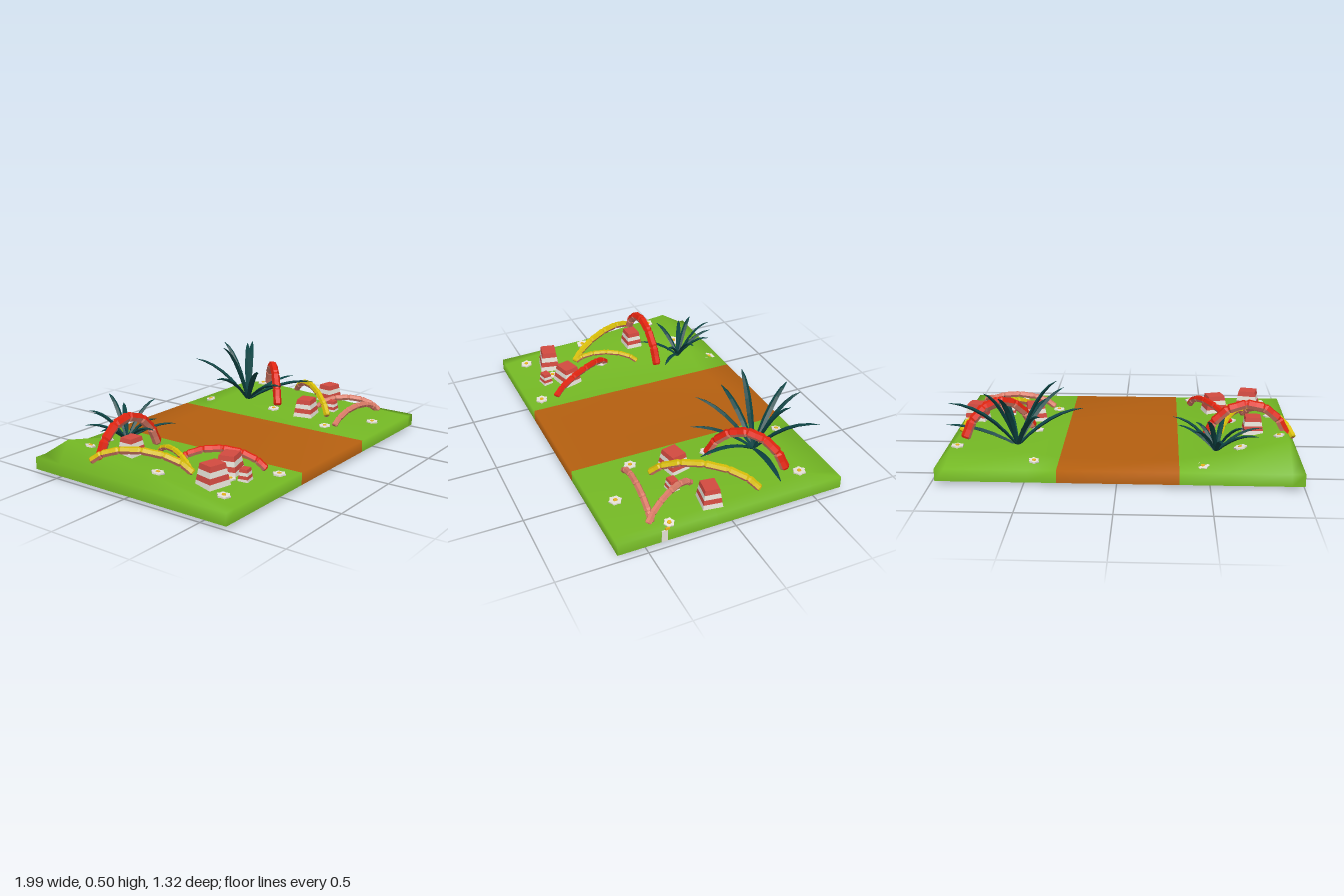
import * as THREE from 'three';

const mat = (name, color) => new THREE.MeshStandardMaterial({ name, color, side: THREE.DoubleSide });
const V = (x, y, z) => new THREE.Vector3(x, y, z);
const lerp = THREE.MathUtils.lerp;

// Piecewise linear lookup through [position, value] pairs
function ramp(pairs, v) {
  for (let i = 1; i < pairs.length; i++) {
    const [a, p] = pairs[i - 1], [b, q] = pairs[i];
    if (v <= b) return lerp(p, q, Math.max(0, (v - a) / (b - a)));
  }
  return pairs[pairs.length - 1][1];
}

// Banks rise beside the flat path and toward the back
const BANK = [[-1, 0], [-0.93, 0.12], [-0.6, 0.045], [-0.335, 0], [0.32, 0], [0.48, 0.03], [0.92, 0.05], [0.975, 0]];
const RISE = [[-0.66, 0], [-0.47, 1], [0.1, 0.5], [0.66, 0]];
const ground = (x, z) => 0.09 + ramp(BANK, x) * ramp(RISE, z);

// Skin over a list of rings; each ring is an array of points
function loft(rings, flat) {
  const w = rings[0].length, index = [];
  for (let i = 0; i < rings.length - 1; i++) {
    for (let j = 0; j < w - 1; j++) {
      const a = i * w + j, c = a + w;
      index.push(a, c, a + 1, a + 1, c, c + 1);
    }
  }
  let g = new THREE.BufferGeometry().setFromPoints(rings.flat());
  g.setIndex(index);
  if (flat) g = g.toNonIndexed();
  g.computeVertexNormals();
  return g;
}

export function createModel() {
  const root = new THREE.Group();
  root.name = 'gardenPath';
  const M = {
    grass: mat('grass green', 0x74b824), soil: mat('path brown', 0xb45f10),
    leaf: mat('leaf teal', 0x0d4444), red: mat('stalk red', 0xe0240f),
    pink: mat('salmon', 0xdb7c68), yellow: mat('stalk yellow', 0xd8be08),
    white: mat('petal white', 0xe6e2d8), gold: mat('flower gold', 0xe8b41c),
    band: mat('pot red', 0xd24a40),
  };
  const add = (parent, name, geo, material) => {
    const m = new THREE.Mesh(geo, material);
    m.name = name;
    parent.add(m);
    return m;
  };

  // Ground: top grid with skirt walls as its outermost rows and columns, open below
  const xs = BANK.map(p => p[0]), zs = RISE.map(p => p[0]);
  const cols = [xs[0], ...xs, xs[xs.length - 1]], rows = [zs[0], ...zs, zs[zs.length - 1]];
  const rim = (i, n) => i === 0 || i === n - 1;
  const soil = loft(rows.map((z, i) => cols.map((x, j) =>
    V(x, rim(i, rows.length) || rim(j, cols.length) ? 0.02 : ground(x, z), z))));
  for (let k = 0; k < soil.index.count / 6; k++) {
    soil.addGroup(k * 6, 6, k % (cols.length - 1) === 4 ? 1 : 0);
  }
  add(root, 'ground', soil, [M.grass, M.soil]);

  // Arched stalks: pinched six-sided segments, coloured outside, salmon inside
  function stalk(name, a, b, peak, r, outer, bow = 0) {
    const g = new THREE.Group();
    g.name = name;
    root.add(g);
    const A = V(...a), B = V(...b), n = 6;
    const along = V(B.x - A.x, 0, B.z - A.z).normalize();
    const side = V(-along.z, 0, along.x);
    const point = i => {
      const t = i / n, s = (1 - Math.cos(Math.PI * t)) / 2, u = lerp(t, s, 0.6);
      const p = A.clone().lerp(B, u).addScaledVector(side, bow * Math.sin(Math.PI * u));
      p.y += (peak - (a[1] + b[1]) / 2) * Math.sin(Math.PI * t);
      return p;
    };
    [[0, outer, 'outerHalf'], [Math.PI, M.pink, 'innerHalf']].forEach(([start, material, part]) => {
      const rings = [];
      for (let i = 0; i < n; i++) {
        const p = point(i), q = point(i + 1);
        const up = side.clone().cross(q.clone().sub(p).normalize());
        if (up.y < 0) up.negate();
        for (const [t, k] of [[0, 0.75], [0.1, 1.02], [0.5, 0.95], [0.9, 1.02], [1, 0.75]]) {
          const c = p.clone().lerp(q, t);
          rings.push([0, 1, 2, 3].map(j => {
            const f = start + j * Math.PI / 3;
            return c.clone().addScaledVector(side, Math.cos(f) * r * k).addScaledVector(up, Math.sin(f) * r * k);
          }));
        }
      }
      // Close both ends
      const tip = pt => [0, 1, 2, 3].map(() => pt.clone());
      rings.unshift(tip(A));
      rings.push(tip(B));
      add(g, part, loft(rings, true), material);
    });
  }
  stalk('leftTallArch', [-0.95, 0.15, -0.22], [-0.48, 0.12, -0.22], 0.335, 0.027, M.red);
  stalk('rightTallArch', [0.52, 0.13, -0.07], [0.86, 0.16, -0.37], 0.335, 0.027, M.red);
  stalk('leftYellowArch', [-0.98, 0.15, -0.25], [-0.74, 0.12, 0.25], 0.225, 0.021, M.yellow);
  stalk('leftSmallArch', [-0.74, 0.12, 0.24], [-0.58, 0.12, -0.12], 0.185, 0.016, M.yellow);
  stalk('leftRedArch', [-0.65, 0.12, 0.07], [-0.42, 0.1, 0.49], 0.195, 0.021, M.red, -0.03);
  stalk('rightYellowArch', [0.54, 0.12, 0.29], [0.92, 0.13, -0.18], 0.235, 0.021, M.yellow);
  stalk('rightPinkArch', [0.7, 0.11, 0.12], [0.9, 0.1, 0.46], 0.18, 0.019, M.pink);
  stalk('frontPinkArch', [0.44, 0.1, 0.4], [0.9, 0.1, 0.44], 0.175, 0.019, M.pink);

  // Root tip poking out under the ground
  const rootTip = add(root, 'rootTip', new THREE.ConeGeometry(0.025, 0.1, 6), M.pink);
  rootTip.rotation.x = Math.PI;
  rootTip.position.set(-0.71, 0.05, 0.29);

  // Striped four-sided pots: x, z, width, height, turn
  [[-0.76, -0.16, 0.12, 0.1, 0], [-0.78, 0.41, 0.14, 0.12, -0.22], [-0.57, 0.36, 0.14, 0.11, 0.27],
    [-0.61, 0.49, 0.07, 0.07, 0.2], [0.53, 0.14, 0.14, 0.11, 0.2], [0.88, 0.1, 0.13, 0.11, -0.15],
    [0.7, 0.23, 0.07, 0.07, 0.1]].forEach(([x, z, w, h, turn]) => {
    const pot = new THREE.Group();
    pot.name = 'stripedPot';
    pot.position.set(x, ground(x, z) - 0.005, z);
    pot.rotation.y = turn;
    pot.scale.z = 0.85;
    const rad = k => w * Math.SQRT1_2 * (1 - 0.07 * k);
    for (let k = 0; k < 4; k++) {
      let g = new THREE.CylinderGeometry(rad(k + 1), rad(k), h / 4, 4, 1, k < 3);
      g = g.rotateY(Math.PI / 4).toNonIndexed();
      g.computeVertexNormals();
      add(pot, k % 2 ? 'redBand' : 'whiteBand', g, k % 2 ? M.band : M.white).position.y = (k + 0.5) * h / 4;
    }
    root.add(pot);
  });

  // Spiky plants: one ridged, tapering blade to each tip
  function plant(name, x, z, width, tips) {
    const g = new THREE.Group();
    g.name = name;
    root.add(g);
    const base = V(x, ground(x, z) - 0.01, z);
    tips.forEach(([tx, tz, ty]) => {
      const tip = V(tx, ty, tz);
      const mid = base.clone().lerp(tip, 0.5);
      mid.y = lerp(base.y, ty, 0.75) + 0.04;
      const curve = new THREE.QuadraticBezierCurve3(base, mid, tip);
      const side = V(-(tz - z), 0, tx - x).normalize();
      const rings = [];
      for (let i = 0; i <= 6; i++) {
        const t = i / 6, c = curve.getPoint(t), up = side.clone().cross(curve.getTangent(t));
        const w = width * ramp([[0, 0.6], [0.4, 1], [0.8, 0.7], [1, 0.08]], t);
        rings.push([[-1, 0], [0, 0.55], [1, 0], [0, -0.55], [-1, 0]].map(([u, v]) =>
          c.clone().addScaledVector(side, u * w).addScaledVector(up, v * w)));
      }
      add(g, 'blade', loft(rings, true), M.leaf);
    });
  }
  plant('rightPlant', 0.57, -0.34, 0.02, [[0.4, -0.64, 0.38], [0.63, -0.58, 0.46], [0.9, -0.54, 0.42],
    [0.99, -0.26, 0.2], [0.2, -0.32, 0.33], [0.33, -0.09, 0.38], [0.45, 0, 0.28], [0.71, 0.07, 0.27],
    [0.34, -0.37, 0.5], [0.73, -0.46, 0.45]]);
  plant('leftPlant', -0.54, -0.4, 0.016, [[-0.79, -0.36, 0.24], [-0.3, -0.39, 0.31], [-0.33, -0.21, 0.2],
    [-0.56, -0.64, 0.24], [-0.68, -0.55, 0.3], [-0.76, -0.51, 0.24], [-0.48, -0.59, 0.35], [-0.4, -0.55, 0.28],
    [-0.6, -0.14, 0.24], [-0.43, -0.27, 0.24]]);

  // Flat scalloped flowers lying on the banks
  function petals(r) {
    const g = new THREE.CylinderGeometry(r, r, 0.009, 12);
    const p = g.attributes.position;
    for (let i = 0; i < p.count; i++) {
      const k = Math.round(Math.atan2(p.getZ(i), p.getX(i)) / (Math.PI / 6)) % 2 ? 0.78 : 1;
      p.setX(i, p.getX(i) * k);
      p.setZ(i, p.getZ(i) * k);
    }
    g.computeVertexNormals();
    return g;
  }
  [[-0.46, -0.59], [-0.67, -0.43], [-0.89, -0.34], [-0.65, 0.1], [-0.89, 0.14], [-0.66, 0.43], [-0.86, 0.54],
    [-0.43, 0.58], [0.45, -0.56], [0.89, -0.44], [0.41, 0.35], [0.94, 0.36], [0.66, 0.54], [0.49, -0.08]]
    .forEach(([x, z], i) => {
      const f = new THREE.Group();
      f.name = 'flower';
      f.position.set(x, ground(x, z) + 0.004, z);
      const e = 0.02;
      const n = V(ground(x - e, z) - ground(x + e, z), 2 * e, ground(x, z - e) - ground(x, z + e)).normalize();
      f.quaternion.setFromUnitVectors(V(0, 1, 0), n);
      add(f, 'petals', petals(i % 3 === 2 ? 0.031 : 0.038), M.white).rotation.y = i;
      add(f, 'flowerCentre', new THREE.CylinderGeometry(0.011, 0.013, 0.008, 8), M.gold).position.y = 0.004;
      root.add(f);
    });

  // Petal and centre folded over the right wall
  add(root, 'wallPetal', new THREE.BoxGeometry(0.006, 0.07, 0.034), M.white).position.set(0.975, 0.057, 0.4);
  add(root, 'wallFlowerCentre', new THREE.BoxGeometry(0.008, 0.012, 0.024), M.gold).position.set(0.976, 0.1, 0.385);
  root.position.x = 0.0;
  return root;
}
